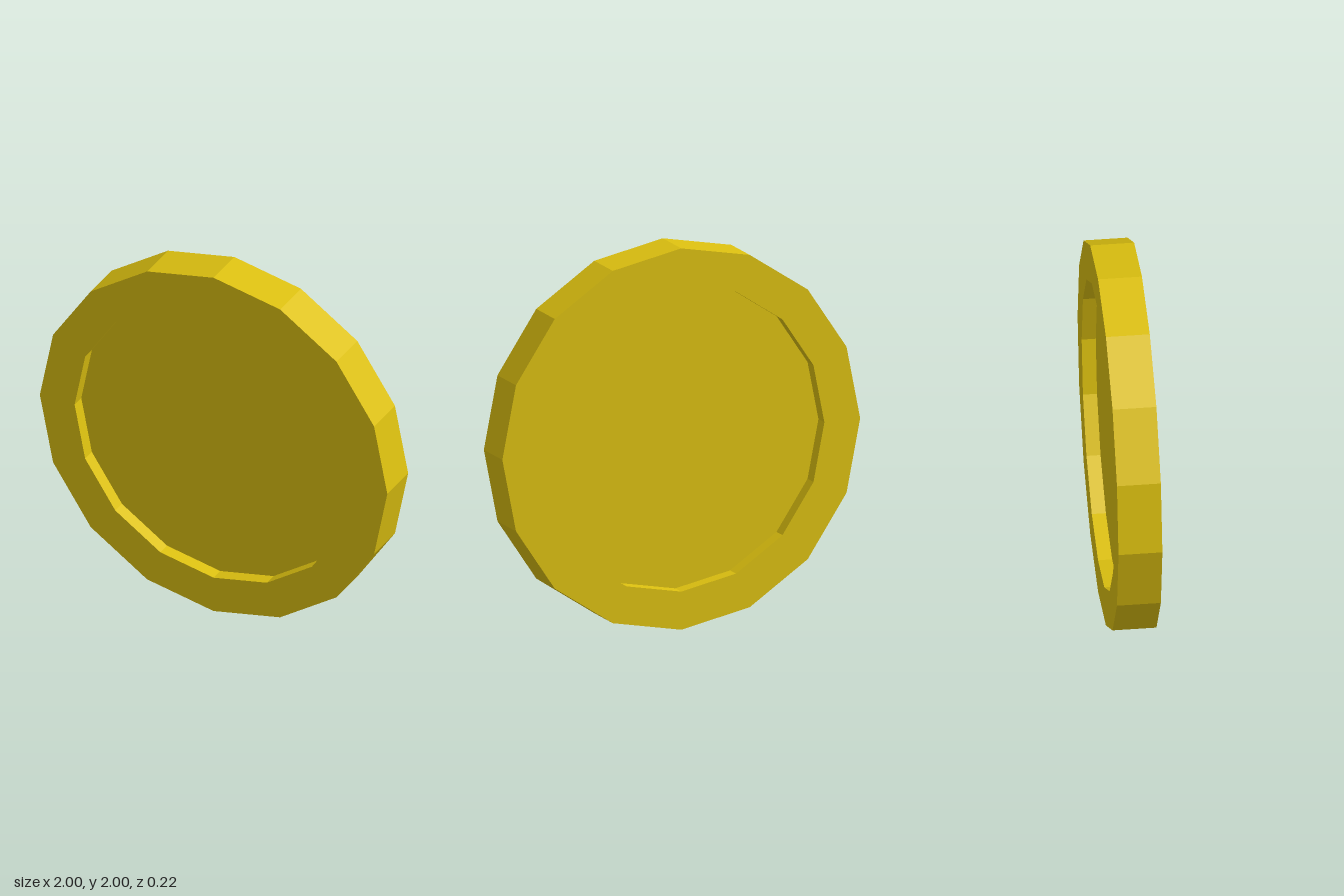
import * as THREE from 'three';

const SIDES = 16;
const OUTER = 1, INNER = 0.8;    // rim radii
const HALF = 0.112, FLOOR = 0.04; // half thickness of rim and of recessed disc

export function createModel() {
  const group = new THREE.Group();
  group.name = 'coin';
  const gold = new THREE.MeshStandardMaterial({ color: 0xdcc010, flatShading: true });

  // Closed profile: back face, rim, front face, with a recess on both sides
  const profile = [
    [0, -FLOOR], [INNER, -FLOOR], [INNER, -HALF], [OUTER, -HALF],
    [OUTER, HALF], [INNER, HALF], [INNER, FLOOR], [0, FLOOR],
  ].map(([r, y]) => new THREE.Vector2(r, y));

  // Turn the lathe axis to z and stand the coin on its edge
  const geometry = new THREE.LatheGeometry(profile, SIDES);
  geometry.rotateX(Math.PI / 2);
  const body = new THREE.Mesh(geometry, gold);
  body.name = 'coinBody';
  body.position.y = OUTER;
  group.add(body);
  return group;
}
